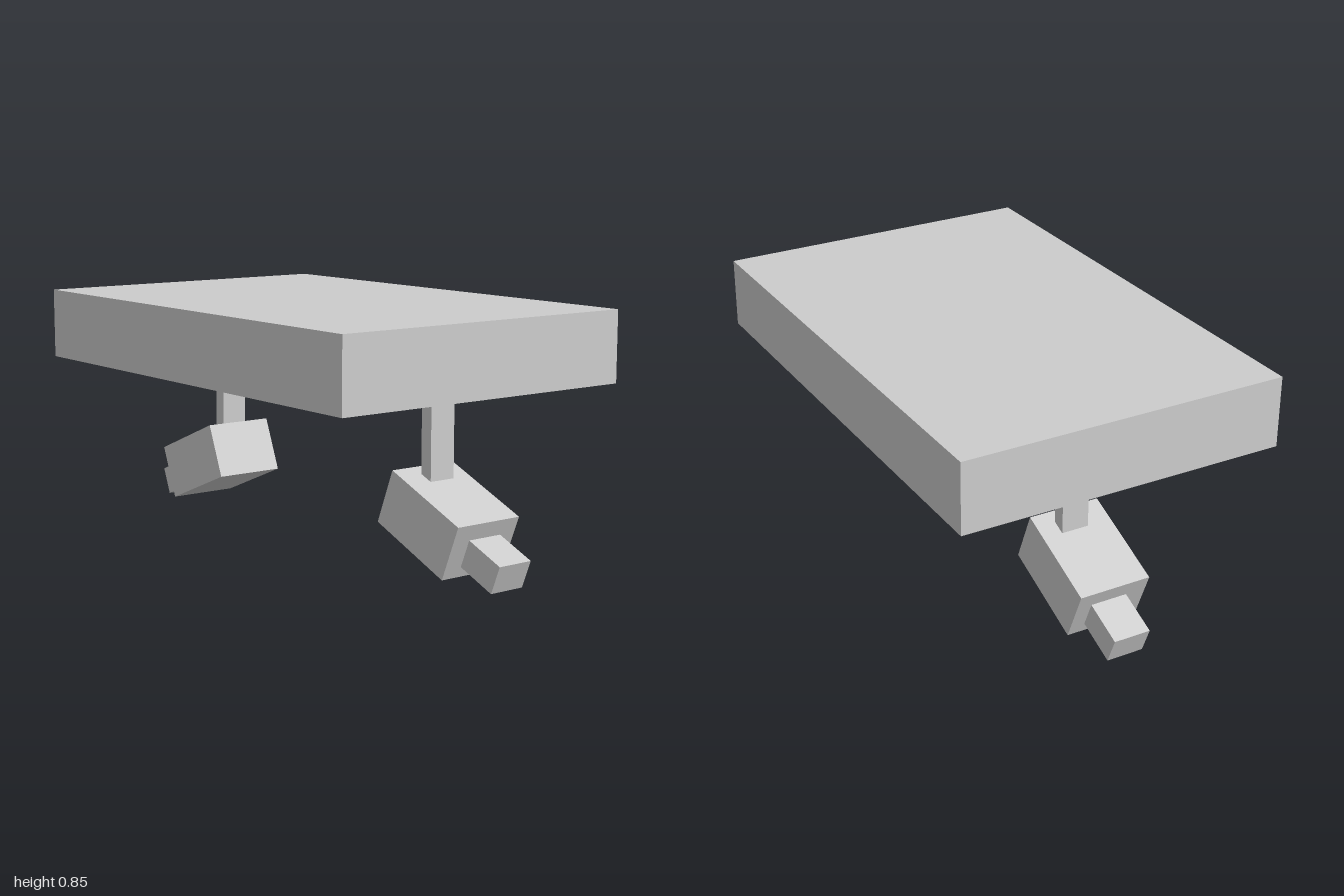
import * as THREE from 'three';

const material = new THREE.MeshStandardMaterial({ color: 0xcccccc, flatShading: true });

function box(name, [w, h, d], [x, y, z]) {
  const mesh = new THREE.Mesh(new THREE.BoxGeometry(w, h, d), material);
  mesh.name = name;
  mesh.position.set(x, y, z);
  return mesh;
}

// Camera hanging on a post; dir is +1 for the front one, -1 for the back one
function hangingCamera(name, dir, lensX) {
  const group = new THREE.Group();
  group.name = name;
  group.add(box('post', [0.1, 0.38, 0.048], [0, 0.425, 0.002 + dir * 0.611]));

  // Housing and lens share one downward tilt, pointing outwards
  const head = new THREE.Group();
  head.name = 'cameraHead';
  head.position.set(-0.009, 0.187, 0.002 + dir * 0.673);
  head.rotation.x = dir * THREE.MathUtils.degToRad(22);
  head.add(box('housing', [0.263, 0.202, 0.355], [0, 0, 0]));
  head.add(box('lens', [0.134, 0.103, 0.175], [lensX, -0.01, dir * 0.246]));
  group.add(head);
  return group;
}

export function createModel() {
  const model = new THREE.Group();
  model.name = 'ceilingCameraMount';
  model.add(box('ceilingSlab', [1.172, 0.252, 1.774], [-0.001, 0.734, -0.033]));
  model.add(hangingCamera('frontCamera', 1, 0.003));
  model.add(hangingCamera('backCamera', -1, 0.01));
  return model;
}
